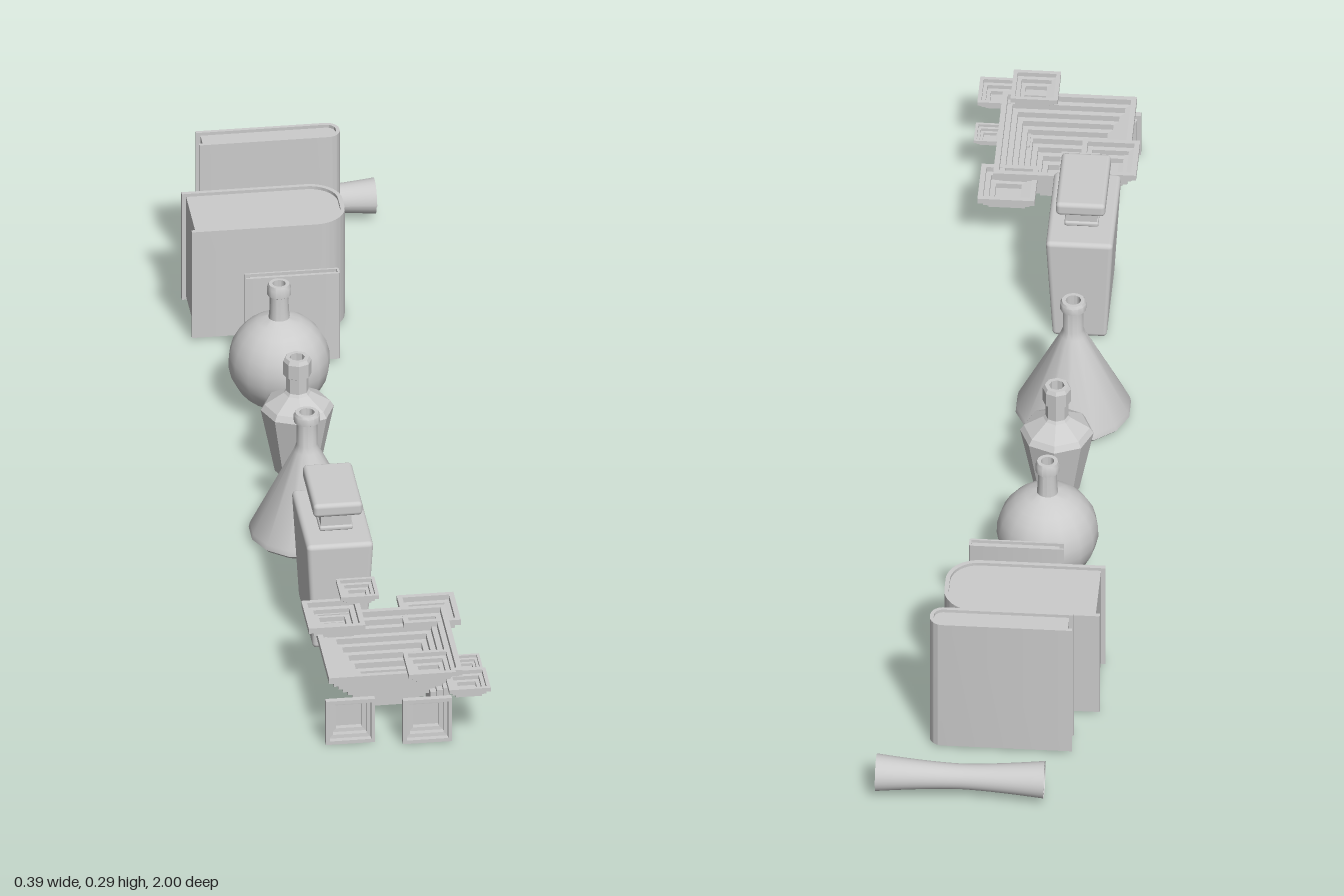
import * as THREE from 'three';
import { toCreasedNormals } from 'three/addons/utils/BufferGeometryUtils.js';
import { RoundedBoxGeometry } from 'three/addons/geometries/RoundedBoxGeometry.js';
import { ParametricGeometry } from 'three/addons/geometries/ParametricGeometry.js';

const smooth = new THREE.MeshStandardMaterial({ color: 0xcccccc, side: THREE.DoubleSide });
const flat = new THREE.MeshStandardMaterial({ color: 0xcccccc, side: THREE.DoubleSide, flatShading: true });

function add(parent, name, geometry, x, y, z, material = smooth) {
  const mesh = new THREE.Mesh(geometry, material);
  mesh.name = name;
  mesh.position.set(x, y, z);
  parent.add(mesh);
  return mesh;
}

function lathe(points, sides) {
  return new THREE.LatheGeometry(points.map(([r, y]) => new THREE.Vector2(r, y)), sides);
}

// Hollow square funnel: stair-shaped rings narrowing downward to a closed plate, rim at y = 0
function steppedFunnel(rim, floor, steps, depth) {
  const h = depth / steps;
  const wall = (rim - floor) / steps;
  const outer = [[0, -depth]];
  const inner = [];
  for (let i = steps - 1; i >= 0; i--) {
    const r = rim - i * wall;
    outer.push([r, -(i + 1) * h], [r, -i * h]);
  }
  for (let i = 0; i < steps; i++) {
    const r = rim - (i + 1) * wall;
    inner.push([r, -i * h], [r, -(i + 1) * h + h * 0.05]);
  }
  inner.push([0, -depth + h * 0.05]);
  const points = [...outer, ...inner].map(([r, y]) => [r * Math.SQRT2, y]);
  return lathe(points, 4).rotateY(Math.PI / 4);
}

// Outline of a block whose spine corners (on +x) are rounded
function spineOutline(path, x0, x1, half, r) {
  path.moveTo(x0, -half);
  path.lineTo(x1 - r, -half);
  path.absarc(x1 - r, -half + r, r, -Math.PI / 2, 0, false);
  path.lineTo(x1, half - r);
  path.absarc(x1 - r, half - r, r, 0, Math.PI / 2, false);
  path.lineTo(x0, half);
}

function extrudeUp(shape, height) {
  const g = new THREE.ExtrudeGeometry(shape, { depth: height, bevelEnabled: false, curveSegments: 8 });
  return toCreasedNormals(g.rotateX(-Math.PI / 2), 0.5);
}

// Book: wrap-around cover with a slightly recessed page block
function book(parent, name, x0, x1, y0, y1, z, thickness, r, t) {
  const group = new THREE.Group();
  group.name = name;
  parent.add(group);
  const half = thickness / 2;
  const cover = new THREE.Shape();
  spineOutline(cover, x0, x1, half, r);
  const ir = Math.max(r - t, 0.001), ih = half - t, ix = x1 - t;
  cover.lineTo(x0, ih);
  cover.lineTo(ix - ir, ih);
  cover.absarc(ix - ir, ih - ir, ir, Math.PI / 2, 0, true);
  cover.lineTo(ix, -ih + ir);
  cover.absarc(ix - ir, -ih + ir, ir, 0, -Math.PI / 2, true);
  cover.lineTo(x0, -ih);
  add(group, 'cover', extrudeUp(cover, y1 - y0), 0, y0, z);
  const pages = new THREE.Shape();
  spineOutline(pages, x0 + 0.008, ix, ih, ir);
  add(group, 'pages', extrudeUp(pages, y1 - y0 - 0.012), 0, y0 + 0.006, z);
}

export function createModel() {
  const model = new THREE.Group();

  // Stepped sculpture: one large funnel with small ones around its rim
  const sculpture = new THREE.Group();
  sculpture.name = 'steppedSculpture';
  model.add(sculpture);
  add(sculpture, 'mainFunnel', steppedFunnel(0.122, 0.033, 9, 0.108), -0.02, 0.136, 0.825, flat);
  // x, rim height, z, half width
  const trays = [
    [-0.107, 0.155, 0.742, 0.052],
    [-0.056, 0.176, 0.69, 0.035],
    [0.074, 0.125, 0.692, 0.052],
    [0.12, 0.105, 0.863, 0.027],
    [0.109, 0.125, 0.962, 0.038],
    [0.042, 0.155, 0.944, 0.043],
  ];
  for (const [x, y, z, half] of trays) {
    add(sculpture, 'rimTray', steppedFunnel(half, half * 0.45, 3, half * 0.62), x, y, z, flat);
  }
  // Upright panels hanging below the rim: x, y, z, whether it faces the side
  const panels = [
    [-0.104, 0.048, 0.957, false],
    [0.035, 0.048, 0.972, false],
    [0.08, 0.048, 0.89, true],
  ];
  for (const [x, y, z, side] of panels) {
    const panel = add(sculpture, 'uprightPanel', steppedFunnel(0.045, 0.024, 3, 0.033), x, y, z, flat);
    if (side) panel.rotation.z = -Math.PI / 2;
    else panel.rotation.x = Math.PI / 2;
  }

  // Square bottle, tapering to its base
  const squareBottle = new THREE.Group();
  squareBottle.name = 'squareBottle';
  squareBottle.position.set(-0.077, 0, 0.503);
  model.add(squareBottle);
  const body = new RoundedBoxGeometry(0.123, 0.218, 0.217, 3, 0.009);
  const p = body.attributes.position;
  for (let i = 0; i < p.count; i++) {
    const k = 0.5 - p.getY(i) / 0.218;
    p.setX(i, p.getX(i) * (1 - 0.2 * k));
    p.setZ(i, p.getZ(i) * (1 - 0.08 * k));
  }
  add(squareBottle, 'body', body, 0, 0.112, 0);
  add(squareBottle, 'neck', new THREE.BoxGeometry(0.056, 0.05, 0.1), 0, 0.24, 0);
  add(squareBottle, 'collar', new RoundedBoxGeometry(0.062, 0.01, 0.107, 2, 0.004), 0, 0.225, 0);
  add(squareBottle, 'stopper', new RoundedBoxGeometry(0.09, 0.027, 0.157, 3, 0.008), 0, 0.2755, 0);

  // Conical flask
  add(model, 'conicalFlask', toCreasedNormals(lathe([
    [0, 0.008], [0.1, 0.008], [0.106, 0.014], [0.104, 0.024], [0.024, 0.182], [0.019, 0.195],
    [0.019, 0.238], [0.024, 0.241], [0.024, 0.254], [0.021, 0.259], [0.014, 0.259], [0.013, 0.2], [0, 0.2],
  ], 14), 0.6), -0.082, 0, 0.183);

  // Faceted bottle
  add(model, 'facetedBottle', lathe([
    [0, 0.009], [0.041, 0.009], [0.067, 0.137], [0.06, 0.148], [0.025, 0.17], [0.021, 0.175],
    [0.021, 0.205], [0.026, 0.208], [0.026, 0.236], [0.022, 0.243], [0.014, 0.243], [0.014, 0.19], [0, 0.19],
  ], 8), -0.069, 0, -0.049, flat);

  // Round flask
  const round = [];
  for (let i = 0; i <= 12; i++) {
    const a = -Math.PI / 2 + (i / 12) * 2.93;
    round.push([Math.max(0, 0.093 * Math.cos(a)), 0.1 + 0.092 * Math.sin(a)]);
  }
  round.push([0.018, 0.205], [0.017, 0.235], [0.022, 0.238], [0.022, 0.252], [0.019, 0.259],
    [0.012, 0.259], [0.012, 0.2], [0, 0.2]);
  add(model, 'roundFlask', toCreasedNormals(lathe(round, 16), 0.7), -0.07, 0, -0.294);

  // Books
  book(model, 'smallBook', -0.111, 0.061, 0.01, 0.188, -0.452, 0.021, 0.004, 0.004);
  book(model, 'thickBook', -0.195, 0.092, 0.008, 0.228, -0.63, 0.15, 0.06, 0.008);
  book(model, 'tallBook', -0.153, 0.107, 0.008, 0.285, -0.798, 0.053, 0.024, 0.007);

  // Rolled scroll, pinched at the middle
  const turns = 2.6;
  const scroll = new ParametricGeometry((u, v, target) => {
    const a = u * turns * Math.PI * 2;
    const pinch = 0.68 + 0.32 * Math.pow(Math.abs(2 * v - 1), 1.5);
    const r = (0.037 - 0.018 * u) * pinch;
    target.set((v - 0.5) * 0.306, r * Math.sin(a), r * Math.cos(a));
  }, 72, 16);
  add(model, 'scroll', scroll, 0.04, 0.046, -0.963);

  return model;
}
